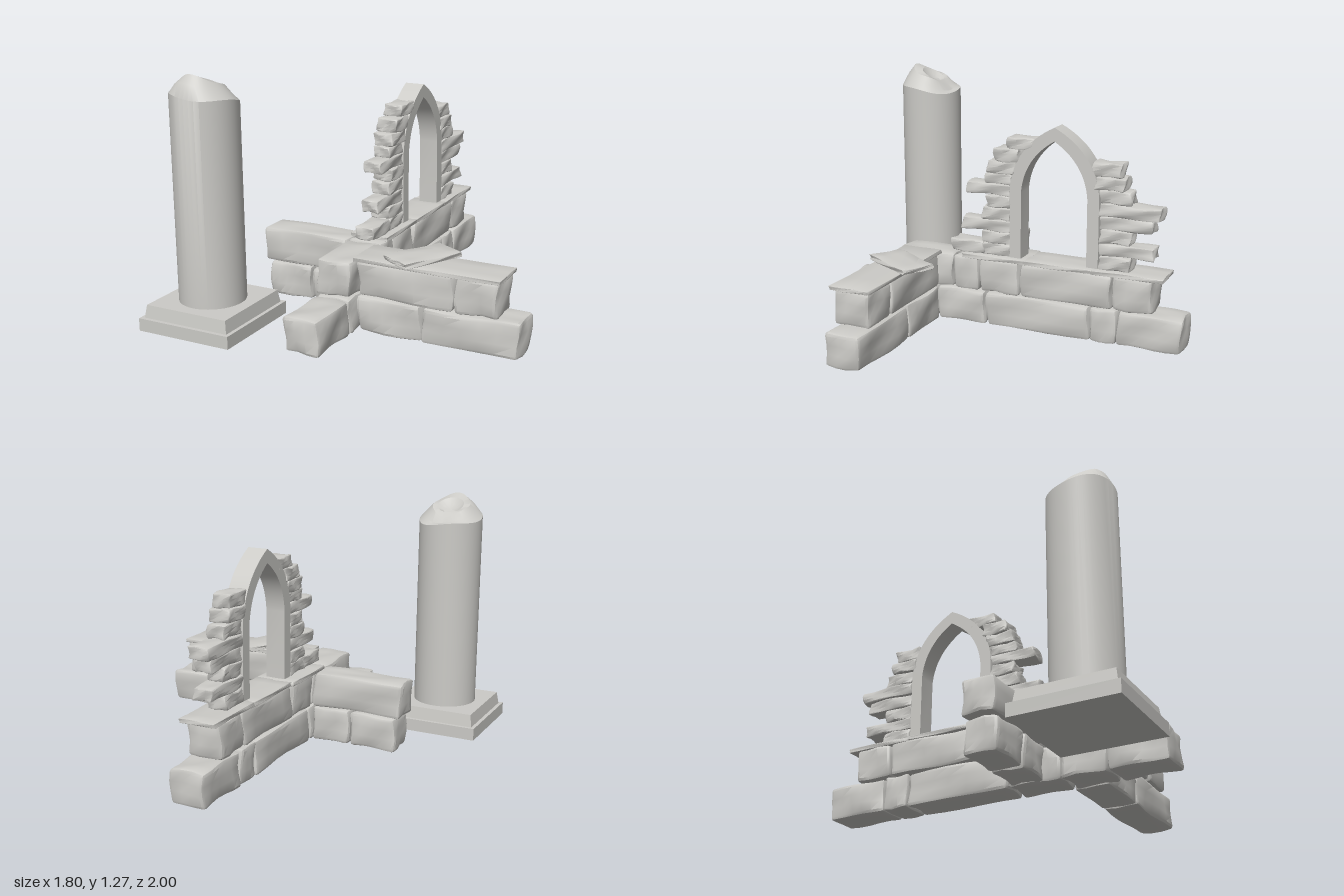
import * as THREE from 'three';
import { toCreasedNormals } from 'three/addons/utils/BufferGeometryUtils.js';

const stoneMat = new THREE.MeshStandardMaterial({ color: 0xcccbc7 });
stoneMat.name = 'pale stone';

let seed = 7;
const rnd = () => (seed = (seed * 16807) % 2147483647) / 2147483647;

function add(parent, name, geo) {
  const mesh = new THREE.Mesh(geo, stoneMat);
  mesh.name = name;
  parent.add(mesh);
  return mesh;
}

// Weathered block between two corners: bevelled box with a gentle wavy surface
function stone(parent, name, x0, x1, y0, y1, z0, z1, rough = 0.07) {
  const half = [(x1 - x0) / 2, (y1 - y0) / 2, (z1 - z0) / 2].map(Math.abs);
  const small = Math.min(...half);
  const r = small * 0.2;
  const segs = half.map(h => (h > 0.12 ? 7 : 5));
  const geo = new THREE.BoxGeometry(2, 2, 2, ...segs);
  const pos = geo.attributes.position;
  const ph = [0, 1, 2].map(() => rnd() * 6.28);
  const amp = small * rough;
  const v = new THREE.Vector3(), core = new THREE.Vector3();
  for (let i = 0; i < pos.count; i++) {
    const p = [0, 1, 2].map(k => {
      const t = pos.getComponent(i, k), n = segs[k];
      const step = Math.round((t + 1) / 2 * n);
      if (step === 0 || step === n) return t * half[k];
      return (((step - 1) / (n - 2)) * 2 - 1) * (half[k] - r);
    });
    v.set(...p);
    core.set(...p.map((c, k) => THREE.MathUtils.clamp(c, r - half[k], half[k] - r)));
    v.sub(core).normalize().multiplyScalar(r).add(core);
    const [a, b, c] = [v.x / half[0], v.y / half[1], v.z / half[2]];
    v.x += amp * Math.sin(2.3 * b + 3.1 * c + ph[0]);
    v.y += amp * 0.6 * Math.sin(2.7 * a + 3.4 * c + ph[1]);
    v.z += amp * Math.sin(2.9 * a + 2.2 * b + ph[2]);
    pos.setXYZ(i, v.x, v.y, v.z);
  }
  const mesh = add(parent, name, toCreasedNormals(geo, 0.55));
  mesh.position.set((x0 + x1) / 2, (y0 + y1) / 2, (z0 + z1) / 2);
  return mesh;
}

function brokenColumn() {
  const g = new THREE.Group();
  g.name = 'brokenColumn';
  g.position.set(-0.64, 0, 0.735);
  add(g, 'plinth', new THREE.BoxGeometry(0.52, 0.065, 0.52)).position.y = 0.0325;
  const step = new THREE.CylinderGeometry(0.23 * Math.SQRT2, 0.24 * Math.SQRT2, 0.065, 4);
  step.rotateY(Math.PI / 4);
  add(g, 'plinthStep', toCreasedNormals(step, 0.3)).position.y = 0.0975;

  // Shaft whose upper rings tilt into a jagged break with a shallow dish
  const profile = [[0.168, 0.125], [0.168, 1.145], [0.135, 1.18], [0.1, 1.215], [0.07, 1.215], [0.04, 1.195], [0, 1.19]];
  const geo = new THREE.LatheGeometry(profile.map(p => new THREE.Vector2(...p)), 40);
  const pos = geo.attributes.position, n = profile.length;
  const tilt = [0, 0.12, 0.32, 0.45, 0.45, 0.45, 0.45];
  for (let i = 0; i < pos.count; i++) {
    const j = i % n, x = pos.getX(i), z = pos.getZ(i), a = Math.atan2(z, x);
    if (j === 0) continue;
    const chip = j < 4 ? 0.008 * Math.sin(3 * a + j) : 0;
    pos.setY(i, pos.getY(i) + tilt[j] * z - 0.04 * x * (j < 3 ? 1 : 0) + chip);
    if (j > 3) pos.setZ(i, z * 0.85 - 0.012);
  }
  add(g, 'shaft', toCreasedNormals(geo, 0.5));
  return g;
}

// Pointed window frame, drawn in the z-y plane
function archFrame() {
  const s = new THREE.Shape();
  s.moveTo(0.242, 0.375);
  s.lineTo(0.242, 0.76);
  s.quadraticCurveTo(0.22, 0.98, 0, 1.09);
  s.quadraticCurveTo(-0.22, 0.98, -0.242, 0.76);
  s.lineTo(-0.242, 0.375);
  s.lineTo(-0.18, 0.375);
  s.lineTo(-0.18, 0.74);
  s.quadraticCurveTo(-0.165, 0.92, 0, 1.02);
  s.quadraticCurveTo(0.165, 0.92, 0.18, 0.74);
  s.lineTo(0.18, 0.375);
  s.closePath();
  const geo = new THREE.ExtrudeGeometry(s, { depth: 0.105, bevelEnabled: false, curveSegments: 14 });
  geo.rotateY(-Math.PI / 2);
  geo.translate(0.025, 0, -0.302);
  return toCreasedNormals(geo, 0.5);
}

export function createModel() {
  const root = new THREE.Group();
  root.name = 'ruin';
  root.add(brokenColumn());
  const group = name => {
    const g = new THREE.Group();
    g.name = name;
    root.add(g);
    return g;
  };
  const LOW = [0.004, 0.182], HIGH = [0.188, 0.368];

  // Long wall running front to back
  const main = group('longWall');
  for (const [a, b] of [[0.9, 0.595], [0.59, 0.355], [0.35, 0.075], [0.065, -0.51], [-0.517, -0.655], [-0.66, -0.995]])
    stone(main, 'lowerBlock', -0.13, 0.055, ...LOW, b, a);
  for (const [a, b] of [[0.59, 0.255], [0.25, 0.11], [0.1, -0.12], [-0.13, -0.625], [-0.632, -0.84]])
    stone(main, 'upperBlock', -0.13, 0.055, ...HIGH, b, a);
  for (const [a, b, x] of [[0.2, -0.16, -0.15], [-0.15, -0.525, -0.135], [-0.515, -0.895, -0.13]])
    stone(main, 'capSlab', x, 0.06, 0.364, 0.386, b, a, 0.2);

  // Wall reaching to the left
  const left = group('leftWall');
  for (const [a, b] of [[0.06, 0.4], [0.405, 0.895]])
    stone(left, 'lowerBlock', a, b, ...LOW, 0.335, 0.525);
  for (const [a, b] of [[0.065, 0.565], [0.575, 0.79]])
    stone(left, 'upperBlock', a, b, ...HIGH, 0.335, 0.53);
  stone(left, 'capSlab', 0.05, 0.805, 0.366, 0.386, 0.325, 0.545, 0.2);
  stone(left, 'looseSlab', 0.265, 0.445, 0.384, 0.41, 0.235, 0.565, 0.3).rotation.y = -0.52;

  // Short wall reaching to the right
  const right = group('rightWall');
  for (const [a, b] of [[-0.6, -0.35], [-0.34, -0.135]])
    stone(right, 'lowerBlock', a, b, ...LOW, 0.095, 0.27);
  stone(right, 'upperBlock', -0.63, -0.135, ...HIGH, 0.095, 0.27);

  // Window arch with ragged masonry on both sides
  const win = group('archedWindow');
  add(win, 'archFrame', archFrame());
  // bottom, top, inner z, outer z
  const rubble = [
    [0.385, 0.45, -0.06, 0.1], [0.385, 0.45, 0.09, 0.28], [0.45, 0.512, -0.06, 0.1], [0.512, 0.575, -0.06, 0.22],
    [0.577, 0.643, -0.06, 0.1], [0.645, 0.708, -0.06, 0.075], [0.71, 0.768, -0.06, 0.19],
    [0.77, 0.825, -0.065, 0.085], [0.825, 0.89, -0.085, 0.07], [0.89, 0.96, -0.11, 0.03], [0.96, 1.02, -0.19, -0.04],
    [0.385, 0.458, -0.545, -0.71], [0.46, 0.52, -0.545, -0.83], [0.522, 0.592, -0.545, -0.71],
    [0.594, 0.66, -0.545, -0.82], [0.662, 0.725, -0.545, -0.86], [0.727, 0.795, -0.545, -0.71],
    [0.797, 0.86, -0.52, -0.675], [0.862, 0.93, -0.5, -0.655]
  ];
  for (const [y0, y1, za, zb] of rubble) {
    const d = rnd() * 0.012;
    stone(win, 'rubbleStone', -0.085 + d, 0.028 - d, y0, y1, Math.min(za, zb), Math.max(za, zb), 0.16);
  }
  return root;
}
